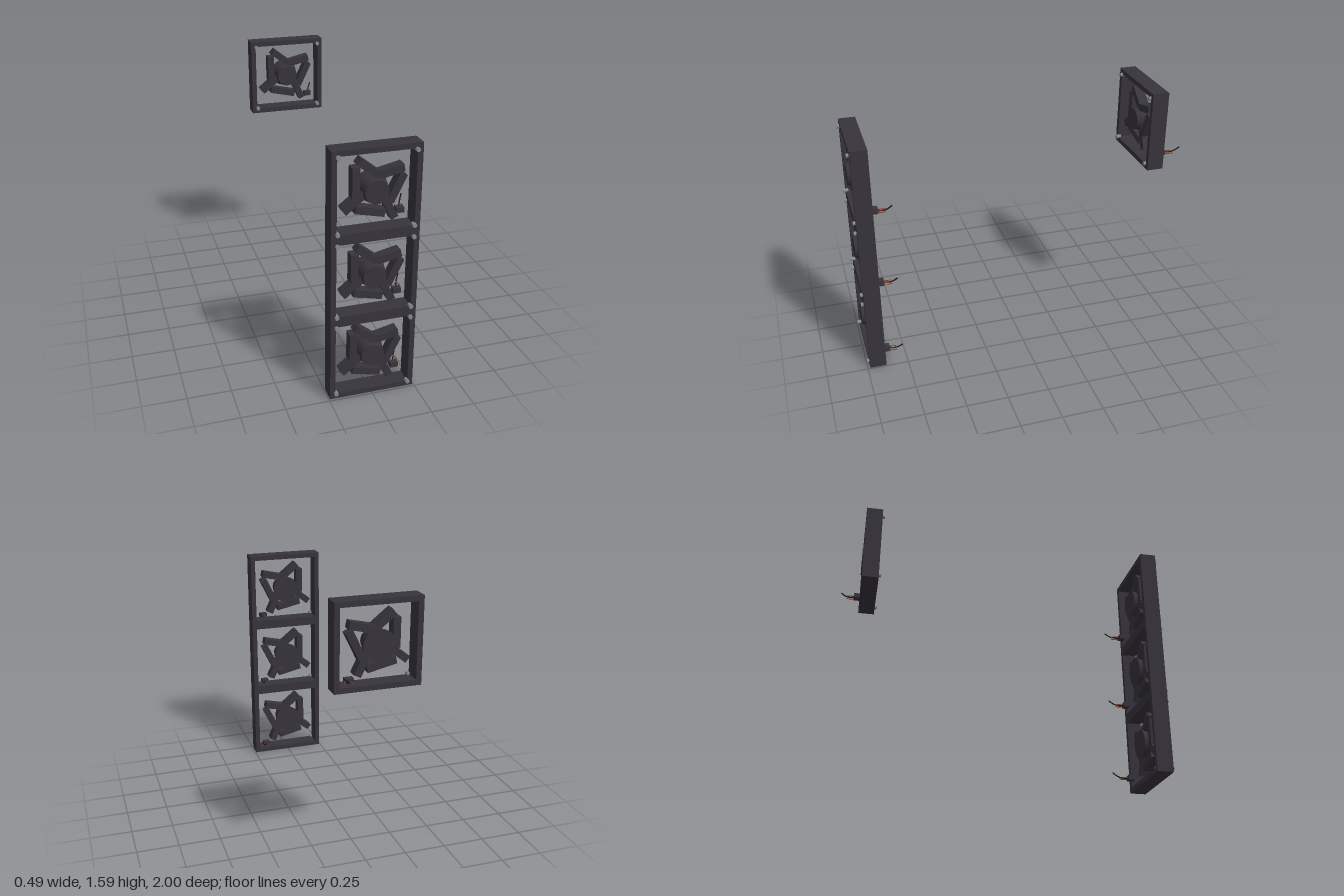
import * as THREE from 'three';

const SIZE = 0.4867, DEPTH = 0.1, WALL = 0.03, BLADES = 7;

const dark = new THREE.MeshStandardMaterial({ color: 0x36333b });
dark.name = 'charcoal plastic';
const steel = new THREE.MeshStandardMaterial({ color: 0x858990 });
steel.name = 'grey steel';
const black = new THREE.MeshStandardMaterial({ color: 0x1c1b1f });
black.name = 'black cable';
const copper = new THREE.MeshStandardMaterial({ color: 0x8a4526 });
copper.name = 'copper wire';

function add(parent, name, geometry, material, x = 0, y = 0, z = 0) {
  const mesh = new THREE.Mesh(geometry, material);
  mesh.name = name;
  mesh.position.set(x, y, z);
  parent.add(mesh);
  return mesh;
}

// square outline centred on the origin
function square(half, Type) {
  const s = new Type();
  s.moveTo(-half, -half);
  s.lineTo(half, -half);
  s.lineTo(half, half);
  s.lineTo(-half, half);
  s.closePath();
  return s;
}

function wire(points, radius) {
  const curve = new THREE.CatmullRomCurve3(points.map((p) => new THREE.Vector3(...p)));
  return new THREE.TubeGeometry(curve, 12, radius, 6);
}

// one fan centred on its own origin, facing +z
function createFan(name) {
  const fan = new THREE.Group();
  fan.name = name;

  // open square frame
  const outline = square(SIZE / 2, THREE.Shape);
  outline.holes.push(square(SIZE / 2 - WALL, THREE.Path));
  const frame = new THREE.ExtrudeGeometry(outline, { depth: DEPTH, bevelEnabled: false });
  add(fan, 'frame', frame, dark, 0, 0, -DEPTH / 2);

  // hub, wider at the back
  const hub = new THREE.CylinderGeometry(0.065, 0.088, DEPTH + 0.01, 32).rotateX(Math.PI / 2);
  add(fan, 'hub', hub, dark);

  // blades: each turns back against its position round the hub
  const bladeGeometry = new THREE.BoxGeometry(0.166, 0.042, 0.06);
  const step = (Math.PI * 2) / BLADES;
  for (let i = 0; i < BLADES; i++) {
    const a = i * step;
    const blade = add(fan, 'blade', bladeGeometry, dark, 0.117 * Math.cos(a), 0.117 * Math.sin(a), 0);
    blade.rotation.z = step * 1.25 - a;
  }

  // corner screws
  const screw = new THREE.CylinderGeometry(0.012, 0.012, 0.03, 12).rotateX(Math.PI / 2);
  for (const x of [-0.21, 0.21])
    for (const y of [-0.21, 0.21]) add(fan, 'screw', screw, steel, x, y, DEPTH / 2);

  // plug, its thin wires and the trailing cable on the back
  const y = -0.166;
  add(fan, 'plug', new THREE.BoxGeometry(0.046, 0.03, 0.036), dark, 0.171, y, -0.068);
  for (const x of [0.165, 0.185, 0.203])
    add(fan, 'wire', wire([[0.17, y, -0.07], [x, y, -0.09], [x + 0.003, y, -0.13]], 0.003), copper);
  add(fan, 'cable', wire([
    [0.172, y, -0.08], [0.185, y, -0.108], [0.2, y + 0.014, -0.138], [0.219, y + 0.043, -0.165],
  ], 0.004), black);
  return fan;
}

export function createModel() {
  const model = new THREE.Group();
  model.name = 'fanSet';

  // stack of three at the front
  for (let i = 0; i < 3; i++) {
    const fan = createFan('stackedFan');
    fan.position.set(0, SIZE * (i + 0.5), 0.935);
    model.add(fan);
  }

  // single fan at the back
  const rear = createFan('rearFan');
  rear.position.set(0, 1.345, -0.833);
  model.add(rear);
  return model;
}
